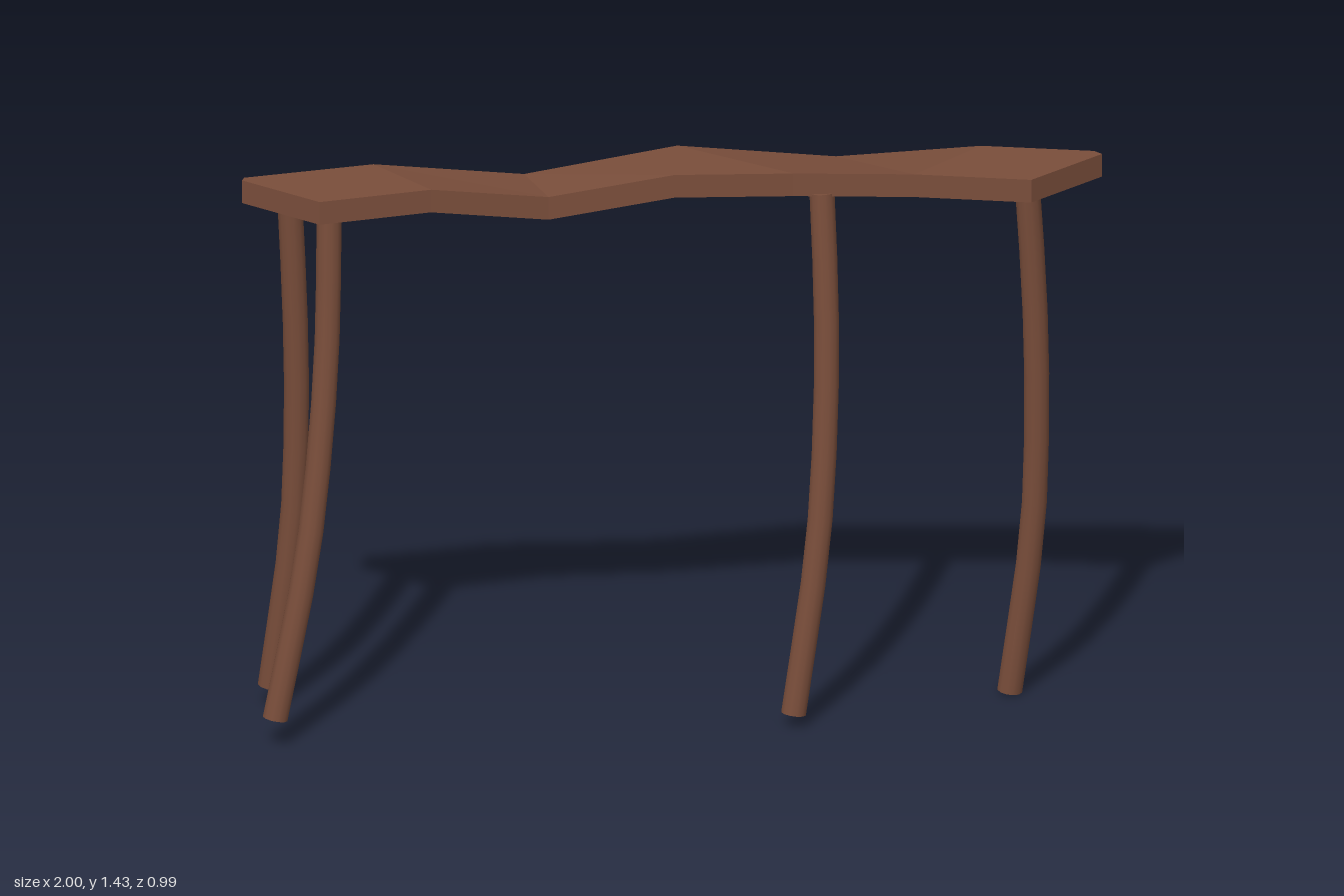
import * as THREE from 'three';

const TOP = 1.44, THICK = 0.06, LEG_R = 0.032;

// Plank cross-sections from right to left: [back x, back z, back dip], [front x, front z, front dip]
const SECTIONS = [
  [[-1.0, 0.32, 0], [-0.77, 0.415, 0]],
  [[-1.0, 0.3, 0], [-0.77, 0.415, 0]],
  [[-0.72, 0.115, 0], [-0.53, 0.25, 0]],
  [[-0.38, -0.055, 0.05], [-0.27, 0.1, 0.045]],
  [[-0.035, -0.23, 0], [0.02, -0.025, 0]],
  [[0.34, -0.355, 0.033], [0.3, -0.12, 0]],
  [[0.69, -0.445, 0], [0.59, -0.2, 0]],
  [[0.97, -0.49, 0], [0.88, -0.245, 0]],
  [[0.995, -0.475, 0], [0.88, -0.245, 0]],
];

// Leg centre lines, top to foot
const LEGS = {
  rightBackLeg: [[-0.89, 1.385, 0.272], [-0.885, 1.07, 0.243], [-0.888, 0.78, 0.222], [-0.905, 0.48, 0.207], [-0.965, 0.062, 0.19]],
  rightFrontLeg: [[-0.768, 1.385, 0.34], [-0.768, 1.08, 0.353], [-0.778, 0.8, 0.378], [-0.803, 0.49, 0.415], [-0.87, 0.08, 0.466]],
  leftFrontLeg: [[0.363, 1.385, -0.157], [0.38, 1.08, -0.138], [0.384, 0.78, -0.115], [0.373, 0.47, -0.085], [0.325, 0.042, -0.038]],
  leftBackLeg: [[0.84, 1.385, -0.345], [0.849, 1.08, -0.377], [0.848, 0.78, -0.4], [0.832, 0.46, -0.418], [0.769, 0.012, -0.43]],
};

// Faceted slab lofted through the sections
function plankGeometry() {
  const pos = [];
  const point = ([x, z, dip], y) => [x, y - dip, z];
  const rings = SECTIONS.map(([b, f]) => [
    point(b, TOP), point(f, TOP), point(f, TOP - THICK), point(b, TOP - THICK),
  ]);
  const same = (p, q) => p.every((v, i) => v === q[i]);
  const tri = (a, b, c) => {
    if (!same(a, b) && !same(b, c) && !same(a, c)) pos.push(...a, ...b, ...c);
  };
  const quad = (a, b, c, d) => { tri(a, b, c); tri(a, c, d); };
  for (let i = 0; i < rings.length - 1; i++) {
    const r = rings[i], n = rings[i + 1];
    for (let k = 0; k < 4; k++) {
      const m = (k + 1) % 4;
      quad(r[k], r[m], n[m], n[k]);
    }
  }
  const first = rings[0], last = rings[rings.length - 1];
  quad(first[3], first[2], first[1], first[0]);
  quad(last[0], last[1], last[2], last[3]);
  const geo = new THREE.BufferGeometry();
  geo.setAttribute('position', new THREE.Float32BufferAttribute(pos, 3));
  geo.computeVertexNormals();
  return geo;
}

// Bent round leg with a flat foot
function makeLeg(name, points, material) {
  const leg = new THREE.Group();
  leg.name = name;
  const curve = new THREE.CatmullRomCurve3(points.map((p) => new THREE.Vector3(...p)));
  const shaft = new THREE.Mesh(new THREE.TubeGeometry(curve, 8, LEG_R, 12), material);
  shaft.name = 'shaft';
  leg.add(shaft);
  for (const [t, sign, label] of [[0, -1, 'upperEnd'], [1, 1, 'foot']]) {
    const cap = new THREE.Mesh(new THREE.CircleGeometry(LEG_R, 12), material);
    cap.name = label;
    cap.position.copy(curve.getPointAt(t));
    cap.quaternion.setFromUnitVectors(
      new THREE.Vector3(0, 0, 1), curve.getTangentAt(t).multiplyScalar(sign));
    leg.add(cap);
  }
  return leg;
}

export function createModel() {
  const wood = new THREE.MeshStandardMaterial({ color: 0x7a4e3b });
  wood.name = 'brown wood';

  const model = new THREE.Group();
  model.name = 'curvedBench';

  const plank = new THREE.Mesh(plankGeometry(), wood);
  plank.name = 'plank';
  model.add(plank);

  for (const [name, points] of Object.entries(LEGS)) model.add(makeLeg(name, points, wood));
  return model;
}
